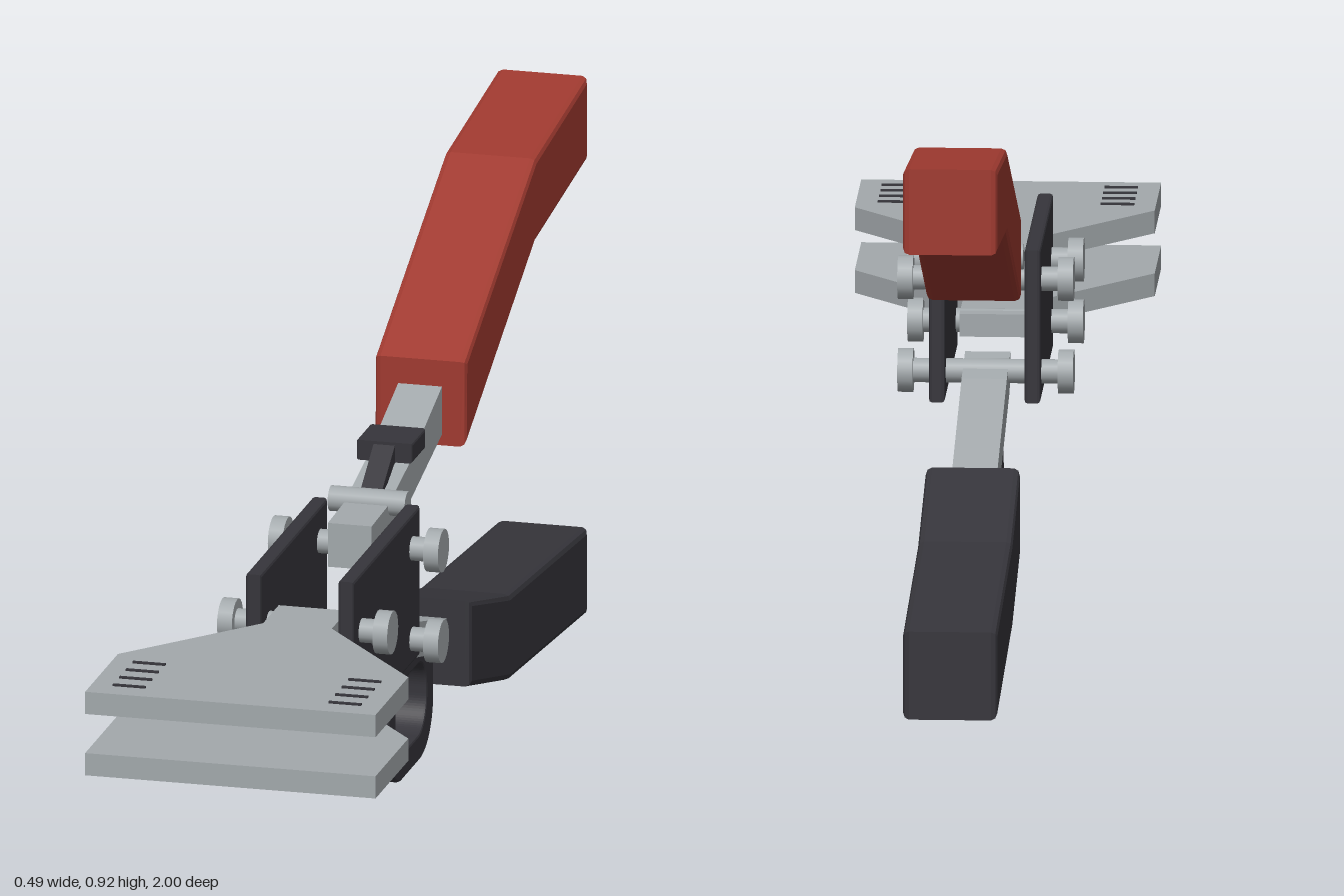
import * as THREE from 'three';

const mat = (name, color) => {
  const m = new THREE.MeshStandardMaterial({ color });
  m.name = name;
  return m;
};

export function createModel() {
  const red = mat('gripRed', 0xa03a30);
  const dark = mat('darkPlastic', 0x36353b);
  const steel = mat('steel', 0xa3a9ac);
  const model = new THREE.Group();
  model.name = 'flatJawPliers';

  const add = (name, geometry, material, x = 0, y = 0, z = 0) => {
    const mesh = new THREE.Mesh(geometry, material);
    mesh.name = name;
    mesh.position.set(x, y, z);
    model.add(mesh);
    return mesh;
  };
  const outline = pts => new THREE.Shape(pts.map(([a, b]) => new THREE.Vector2(a, b)));

  // Side profile in (z, y), extruded to a width along x and centred on it
  const sideExtrude = (shape, width, bevel = 0) => {
    const g = new THREE.ExtrudeGeometry(shape, {
      depth: width - 2 * bevel, curveSegments: 10, bevelEnabled: bevel > 0,
      bevelSize: bevel, bevelThickness: bevel, bevelOffset: -bevel, bevelSegments: 2,
    });
    g.translate(0, 0, -(width - 2 * bevel) / 2);
    return g.rotateY(-Math.PI / 2);
  };
  const rodX = (r, length, sides = 20) =>
    new THREE.CylinderGeometry(r, r, length, sides).rotateZ(Math.PI / 2);
  const roundedRect = (path, z0, z1, y0, y1, r) => {
    path.absarc(z1 - r, y0 + r, r, -Math.PI / 2, 0);
    path.absarc(z1 - r, y1 - r, r, 0, Math.PI / 2);
    path.absarc(z0 + r, y1 - r, r, Math.PI / 2, Math.PI);
    path.absarc(z0 + r, y0 + r, r, Math.PI, Math.PI * 1.5);
    path.closePath();
    return path;
  };

  // Handle grips
  add('upperGrip', sideExtrude(outline([
    [-1, 0.78], [-0.665, 0.742], [-0.215, 0.53], [-0.215, 0.675], [-0.665, 0.885], [-1, 0.923],
  ]), 0.154, 0.01), red);
  add('lowerGrip', sideExtrude(outline([
    [-1, 0.003], [-0.5, 0.043], [-0.245, 0.11], [-0.245, 0.257], [-0.5, 0.19], [-1, 0.15],
  ]), 0.154, 0.01), dark);

  // Steel levers running from the pivots into the grips
  add('upperLever', sideExtrude(outline([
    [-0.26, 0.56], [0, 0.495], [0.13, 0.473], [0.235, 0.455],
    [0.235, 0.53], [0.13, 0.533], [0, 0.562], [-0.26, 0.645],
  ]), 0.074), steel);
  add('lowerLever', sideExtrude(outline([
    [-0.28, 0.158], [0.2, 0.282], [0.235, 0.3], [0.235, 0.345], [0.12, 0.325], [-0.28, 0.215],
  ]), 0.074), steel);

  // Side plates
  for (const s of [1, -1]) {
    add(s > 0 ? 'leftSidePlate' : 'rightSidePlate', sideExtrude(outline([
      [0.13, 0.282], [0.558, 0.282], [0.558, 0.538], [0.13, 0.538],
    ]), 0.026, 0.005), dark, s * 0.078);
  }

  // Through bolts with a head at either end
  for (const [y, z] of [[0.44, 0.505], [0.337, 0.505], [0.48, 0.18], [0.325, 0.18]]) {
    add('boltShaft', rodX(0.02, 0.25), steel, 0, y, z);
    for (const s of [1, -1]) add('boltHead', rodX(0.036, 0.025), steel, s * 0.131, y, z);
  }

  // Flat jaws
  const half = [[0.245, 1], [0.245, 0.79], [0.058, 0.57], [0.058, 0.47]];
  const jawShape = outline([...half, ...half.map(([x, z]) => [-x, z]).reverse()]);
  for (const [name, top] of [['upperJaw', 0.46], ['lowerJaw', 0.355]]) {
    const g = new THREE.ExtrudeGeometry(jawShape, { depth: 0.038, bevelEnabled: false });
    add(name, g.rotateX(Math.PI / 2), steel, 0, top, 0);
  }

  // Grip marks on the upper jaw
  for (const s of [1, -1]) {
    for (let i = 0; i < 4; i++) {
      add('jawMark', new THREE.BoxGeometry(0.055, 0.005, 0.006), dark,
        s * 0.182, 0.4605, 0.83 + i * 0.042);
    }
  }

  // Locking catch: cross pin, sloping arm and thumb tab
  add('catchPin', rodX(0.021, 0.13), steel, 0, 0.532, 0.11);
  add('catchArm', sideExtrude(outline([
    [0.1, 0.53], [0.1, 0.545], [0.01, 0.602], [-0.03, 0.602], [-0.03, 0.572], [0.02, 0.568],
  ]), 0.036), dark);
  add('catchTab', sideExtrude(outline([
    [-0.072, 0.57], [0.015, 0.57], [0.015, 0.604], [-0.072, 0.604],
  ]), 0.094, 0.004), dark);

  // Finger ring under the lower lever
  const ring = roundedRect(new THREE.Shape(), -0.177, 0.11, 0.03, 0.24, 0.085);
  ring.holes.push(roundedRect(new THREE.Path(), -0.132, 0.065, 0.075, 0.196, 0.055));
  add('fingerRing', sideExtrude(ring, 0.066, 0.004), dark);

  return model;
}
